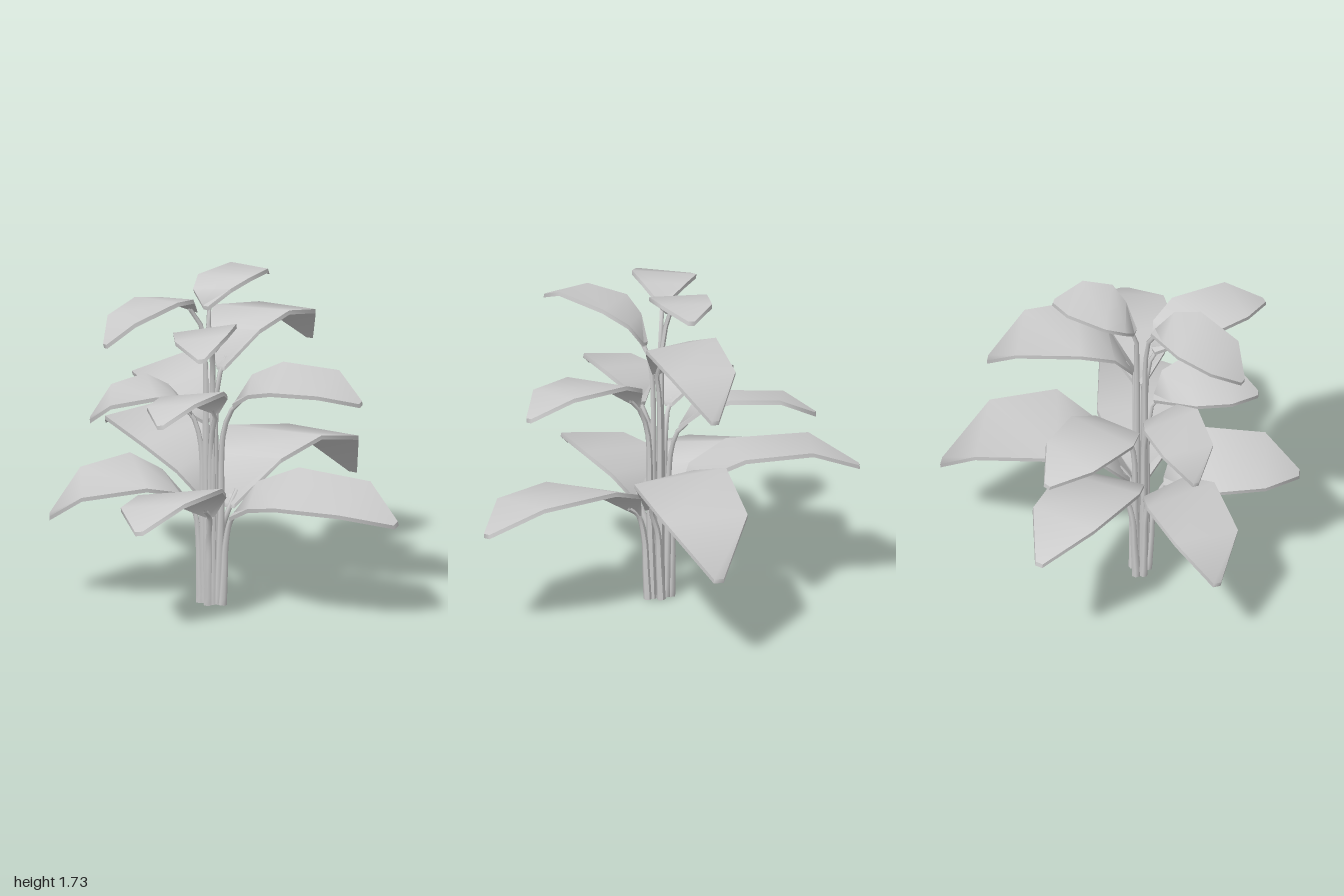
import * as THREE from 'three';
import { toCreasedNormals } from 'three/addons/utils/BufferGeometryUtils.js';

const V = (x, y, z) => new THREE.Vector3(x, y, z);
const material = new THREE.MeshStandardMaterial({ color: 0xcccccc, side: THREE.DoubleSide });

// Leaf cross-sections: [position along leaf, arch height, half width, forward skew]
const SECTIONS = [
  [0, 0, 0.06, 0],
  [0.15, 0.7, 0.33, 0.3],
  [0.37, 1, 0.5, 0.2],
  [0.77, 0.77, 0.42, 0.02],
  [1, 0, 0.05, 0],
];
const THICKNESS = 0.022;

// Each leaf: base, tip, arch rise, full width, roll (right side up is positive)
const LOWER = [
  [V(-0.06, 0.52, 0.02), V(0.92, 0.48, 0.08), 0.315, 0.54, 0.05],
  [V(-0.11, 0.48, 0.07), V(0.055, 0.56, 0.99), 0.17, 0.49, -0.17],
  [V(-0.23, 0.51, 0.02), V(-0.92, 0.59, 0.08), 0.145, 0.45, -0.2],
  [V(-0.17, 0.5, -0.12), V(-0.6, 0.46, -0.72), 0.225, 0.44, 0.15],
  [V(-0.05, 0.52, -0.12), V(0.28, 0.71, -0.99), 0.215, 0.42, 0.06],
];
const MIDDLE = [
  [V(-0.08, 1.25, -0.02), V(0.67, 1.24, -0.01), 0.245, 0.42, 0.06],
  [V(-0.1, 1.08, 0.08), V(0.065, 1.16, 0.76), 0.14, 0.39, -0.15],
  [V(-0.18, 1.05, 0.02), V(-0.71, 1.1, 0.06), 0.11, 0.34, -0.2],
  [V(-0.18, 1.02, -0.13), V(-0.47, 0.97, -0.56), 0.155, 0.34, 0.1],
  [V(-0.05, 0.94, -0.13), V(0.27, 1.03, -0.75), 0.13, 0.35, 0.2],
];
const UPPER = [
  [V(-0.18, 1.37, 0.0), V(-0.71, 1.5, 0.32), 0.125, 0.32, -0.15],
  [V(-0.1, 1.56, -0.1), V(0.33, 1.66, -0.03), 0.095, 0.32, 0.08],
  [V(-0.19, 1.57, -0.1), V(-0.68, 1.46, -0.31), 0.12, 0.33, -0.1],
];

// Arched, flat-sectioned blade with a thin rim
function leafGeometry([base, tip, rise, width, roll]) {
  const chord = tip.clone().sub(base);
  const forward = chord.clone().normalize();
  const side = V(0, 0, 0).crossVectors(forward, V(0, 1, 0)).normalize();
  const up = V(0, 0, 0).crossVectors(side, forward);
  side.applyAxisAngle(forward, -roll);
  up.applyAxisAngle(forward, -roll);
  const pos = [];
  const index = [];
  for (const [t, h, w, skew] of SECTIONS) {
    const mid = base.clone().addScaledVector(chord, t).addScaledVector(up, rise * h);
    const across = side.clone().addScaledVector(forward, skew);
    // Corners run left-top, right-top, right-bottom, left-bottom
    for (const [s, k] of [[-1, 0.5], [1, 0.5], [1, -0.5], [-1, -0.5]]) {
      const p = mid.clone().addScaledVector(across, s * w * width).addScaledVector(up, k * THICKNESS);
      pos.push(p.x, p.y, p.z);
    }
  }
  const last = SECTIONS.length - 1;
  for (let i = 0; i < last; i++) {
    for (let j = 0; j < 4; j++) {
      const a = i * 4 + j, b = i * 4 + ((j + 1) % 4);
      index.push(a, b, b + 4, a, b + 4, a + 4);
    }
  }
  const e = last * 4;
  index.push(0, 2, 1, 0, 3, 2, e, e + 1, e + 2, e, e + 2, e + 3);
  const geo = new THREE.BufferGeometry();
  geo.setAttribute('position', new THREE.Float32BufferAttribute(pos, 3));
  geo.setIndex(index);
  return toCreasedNormals(geo, 0.9);
}

// Stalk rising from the ground bundle and bending out along the blade, tapering upward
function stalkGeometry([base, tip, rise], spread) {
  const out = V(tip.x - base.x, 0, tip.z - base.z).normalize();
  const foot = V(-0.12 + out.x * 0.038 * spread, 0.005, -0.05 + out.z * 0.066 * spread);
  const bend = foot.clone().lerp(base, 0.35).setY(base.y - 0.15);
  const join = base.clone().setY(base.y - 0.01);
  const inner = base.clone().lerp(tip, 0.06);
  inner.y += rise * 0.28 - 0.015;
  const path = new THREE.CatmullRomCurve3([foot, foot.clone().lerp(bend, 0.5), bend, join, inner]);
  const segments = 14, sides = 6;
  const geo = new THREE.TubeGeometry(path, segments, 0.023, sides, false);
  const p = geo.attributes.position;
  const v = V(0, 0, 0);
  for (let i = 0; i <= segments; i++) {
    const centre = path.getPointAt(i / segments);
    for (let j = 0; j <= sides; j++) {
      const k = i * (sides + 1) + j;
      v.fromBufferAttribute(p, k).sub(centre).multiplyScalar(1 - 0.5 * (i / segments)).add(centre);
      p.setXYZ(k, v.x, v.y, v.z);
    }
  }
  geo.computeVertexNormals();
  return geo;
}

export function createModel() {
  const plant = new THREE.Group();
  plant.name = 'leafyPlant';
  const tiers = [['lower', LOWER, 1], ['middle', MIDDLE, 0.6], ['upper', UPPER, 0.45]];
  for (const [name, leaves, spread] of tiers) {
    const tier = new THREE.Group();
    tier.name = name + 'Tier';
    leaves.forEach((leaf, i) => {
      const blade = new THREE.Mesh(leafGeometry(leaf), material);
      blade.name = `${name}Leaf${i + 1}`;
      const stalk = new THREE.Mesh(stalkGeometry(leaf, spread), material);
      stalk.name = `${name}Stalk${i + 1}`;
      tier.add(blade, stalk);
    });
    plant.add(tier);
  }
  return plant;
}
